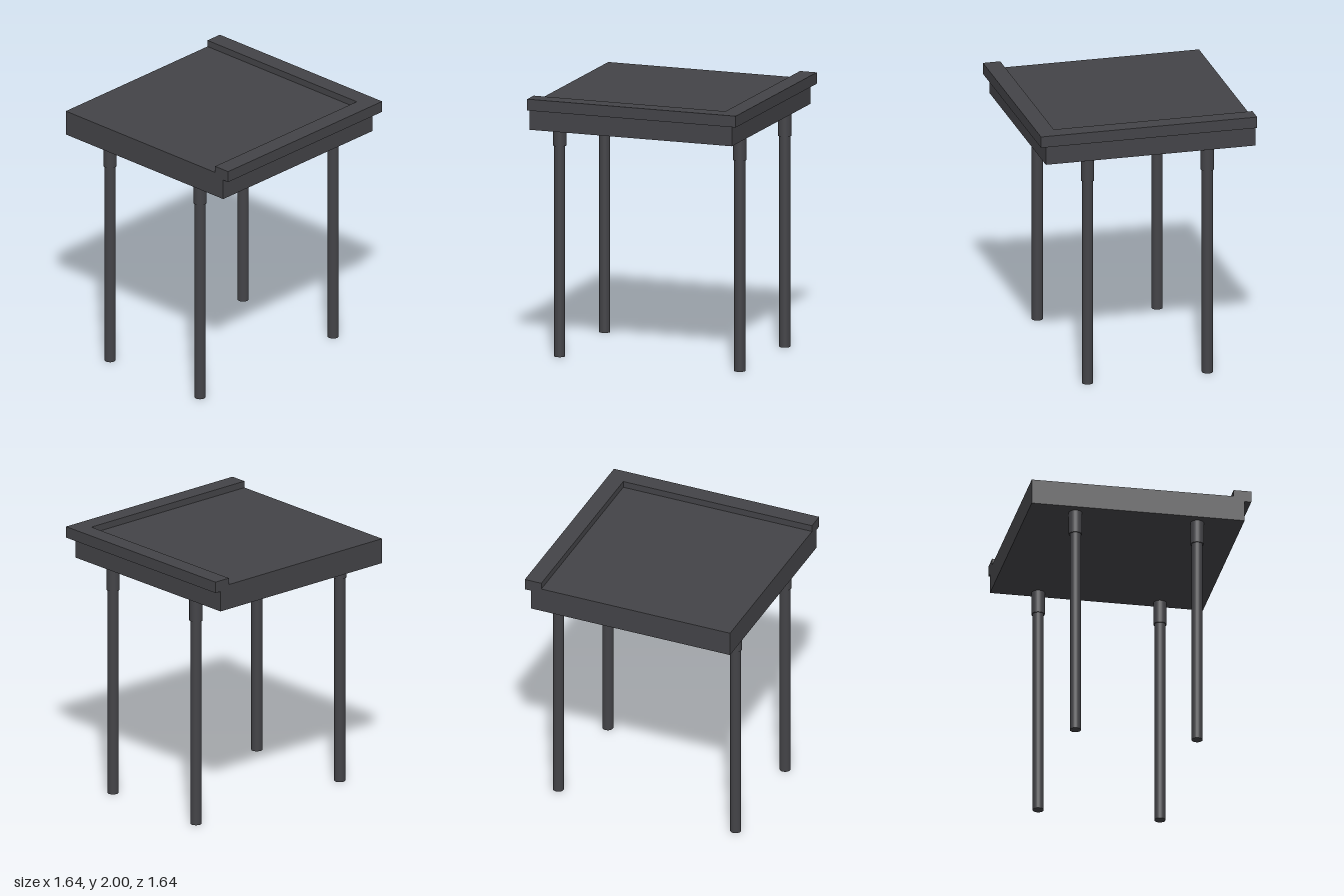
import * as THREE from 'three';

export function createModel() {
  const table = new THREE.Group();
  table.name = 'table';
  const charcoal = new THREE.MeshStandardMaterial({ color: 0x434347 });
  charcoal.name = 'charcoal';

  function add(name, geometry, x, y, z) {
    const mesh = new THREE.Mesh(geometry, charcoal);
    mesh.name = name;
    mesh.position.set(x, y, z);
    table.add(mesh);
  }

  // Thick top slab, open on the back and right edges
  add('topSlab', new THREE.BoxGeometry(1.594, 0.19, 1.594), -0.025, 1.855, -0.025);

  // Raised L-shaped lip overhanging the front and left edges (shape y = -z)
  const lip = new THREE.Shape([
    [-0.822, -0.822], [0.822, -0.822], [0.822, 0.822],
    [0.69, 0.822], [0.69, -0.69], [-0.822, -0.69],
  ].map(([x, y]) => new THREE.Vector2(x, y)));
  const lipGeometry = new THREE.ExtrudeGeometry(lip, { depth: 0.085, bevelEnabled: false });
  lipGeometry.rotateX(-Math.PI / 2);
  add('edgeLip', lipGeometry, 0, 1.915, 0);

  // Four round legs, each with a wider collar under the slab
  for (const x of [-0.716, 0.704]) {
    for (const z of [-0.475, 0.437]) {
      add('leg', new THREE.CylinderGeometry(0.041, 0.041, 1.6, 24), x, 0.8, z);
      add('legCollar', new THREE.CylinderGeometry(0.049, 0.049, 0.175, 24), x, 1.6725, z);
    }
  }
  return table;
}
